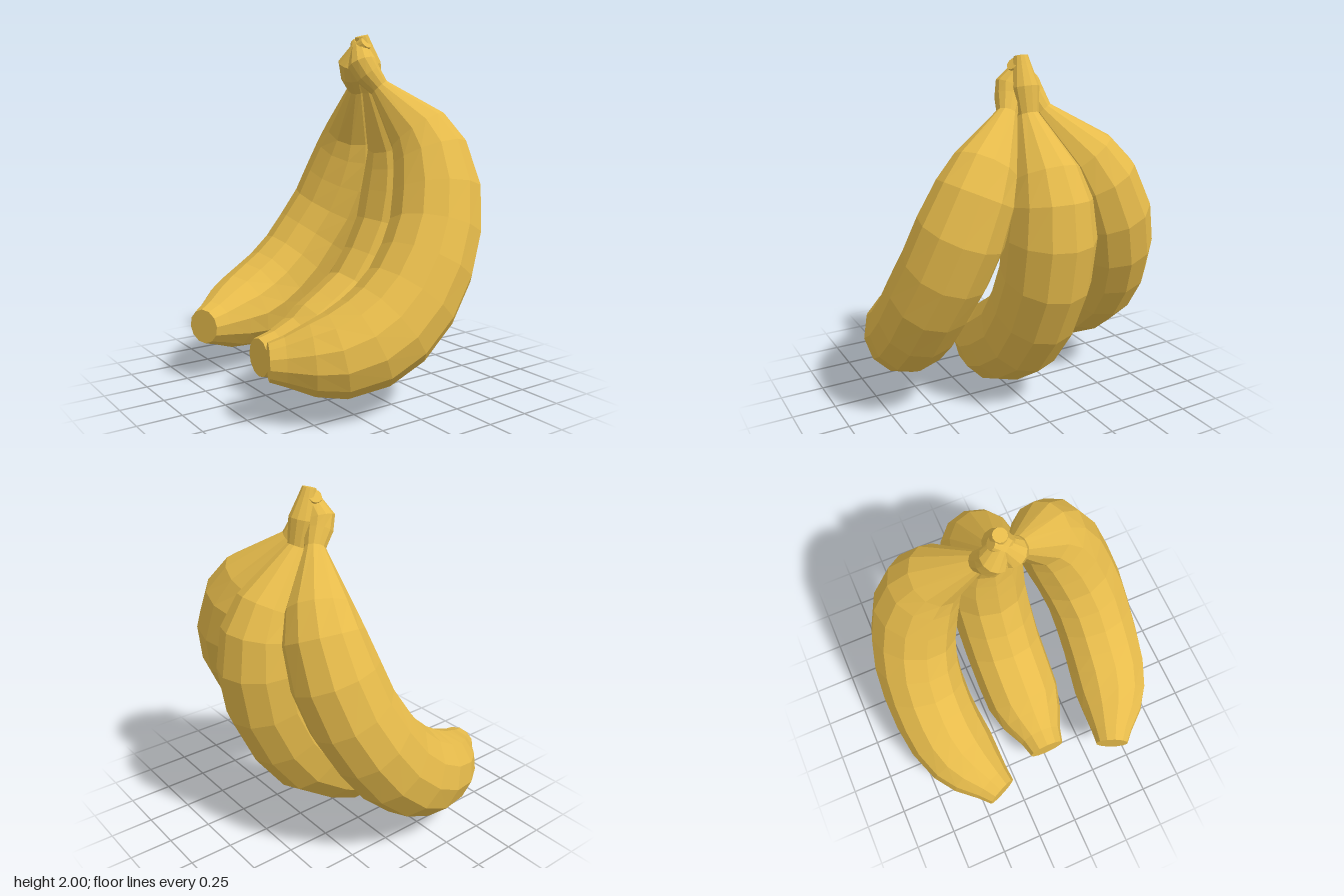
import * as THREE from 'three';

const SIDES = 12;

// Cross-sections from blossom end to stem tip: [x, y, z, half width, half depth if not round]
const middlePath = [
  [-0.54, 0.235, 0, 0.11], [-0.45, 0.235, 0, 0.135], [-0.31, 0.217, 0, 0.2, 0.21],
  [-0.16, 0.25, 0, 0.24, 0.255], [-0.01, 0.325, 0, 0.245, 0.265], [0.18, 0.455, 0, 0.245, 0.268],
  [0.32, 0.645, 0, 0.245, 0.268], [0.43, 0.873, 0, 0.245, 0.265], [0.47, 1.1, 0, 0.245, 0.26],
  [0.463, 1.28, 0, 0.22, 0.235], [0.415, 1.415, 0, 0.18, 0.19], [0.23, 1.7, 0, 0.06],
  [0.195, 1.84, 0, 0.078], [0.165, 1.95, 0, 0.05], [0.152, 2.0, 0, 0.038],
];
const sidePath = [
  [-0.692, 0.345, 0.378, 0.1], [-0.615, 0.345, 0.412, 0.13], [-0.495, 0.35, 0.47, 0.19],
  [-0.378, 0.36, 0.515, 0.228], [-0.222, 0.41, 0.557, 0.243, 0.255], [-0.08, 0.49, 0.575, 0.243, 0.265],
  [0.063, 0.618, 0.575, 0.243, 0.265], [0.182, 0.78, 0.557, 0.243, 0.262], [0.28, 0.955, 0.513, 0.243, 0.255],
  [0.337, 1.15, 0.452, 0.24, 0.247], [0.352, 1.345, 0.373, 0.215], [0.325, 1.47, 0.303, 0.175],
  [0.2, 1.71, 0.108, 0.057], [0.147, 1.785, 0.07, 0.077], [0.122, 1.845, 0.045, 0.083],
  [0.138, 1.925, 0, 0.052], [0.15, 1.962, -0.048, 0.036],
];

// Lofts rings along a path; ref is the normal of the plane the path bends in
function loft(path, ref) {
  const centers = path.map(([x, y, z]) => new THREE.Vector3(x, y, z));
  const last = centers.length - 1;
  const dir = (i) => centers[i + 1].clone().sub(centers[i]).normalize();
  const positions = [];
  const index = [];

  centers.forEach((c, i) => {
    const [, , , width, depth = width] = path[i];
    const t = dir(Math.max(i - 1, 0)).add(dir(Math.min(i, last - 1))).normalize();
    const b = ref.clone().addScaledVector(t, -ref.dot(t)).normalize();
    const n = b.clone().cross(t);
    for (let j = 0; j < SIDES; j++) {
      const a = (j / SIDES) * Math.PI * 2;
      const p = c.clone()
        .addScaledVector(n, Math.cos(a) * depth)
        .addScaledVector(b, Math.sin(a) * width);
      positions.push(p.x, p.y, p.z);
    }
  });

  const at = (i, j) => i * SIDES + (j % SIDES);
  const startCap = positions.length / 3;
  positions.push(...centers[0].toArray(), ...centers[last].toArray());
  for (let j = 0; j < SIDES; j++) {
    for (let i = 0; i < last; i++) {
      index.push(at(i, j), at(i, j + 1), at(i + 1, j + 1));
      index.push(at(i, j), at(i + 1, j + 1), at(i + 1, j));
    }
    index.push(startCap, at(0, j + 1), at(0, j));
    index.push(startCap + 1, at(last, j), at(last, j + 1));
  }

  const geometry = new THREE.BufferGeometry();
  geometry.setAttribute('position', new THREE.Float32BufferAttribute(positions, 3));
  geometry.setIndex(index);
  const flat = geometry.toNonIndexed();
  flat.computeVertexNormals();
  return flat;
}

export function createModel() {
  const group = new THREE.Group();
  group.name = 'bananaBunch';
  const peel = new THREE.MeshStandardMaterial({ color: 0xe6bb4b, flatShading: true });

  const add = (name, path, ref) => {
    const mesh = new THREE.Mesh(loft(path, ref), peel);
    mesh.name = name;
    group.add(mesh);
  };

  // Middle fruit
  add('middleBanana', middlePath, new THREE.Vector3(0, 0, 1));

  // Outer fruits, mirrored front to back; their stem tips cross over
  for (const [name, s] of [['frontBanana', 1], ['backBanana', -1]]) {
    const path = sidePath.map(([x, y, z, ...radii]) => [x, y, z * s, ...radii]);
    add(name, path, new THREE.Vector3(-0.36, 0.4, 0.84 * s).normalize());
  }
  return group;
}
